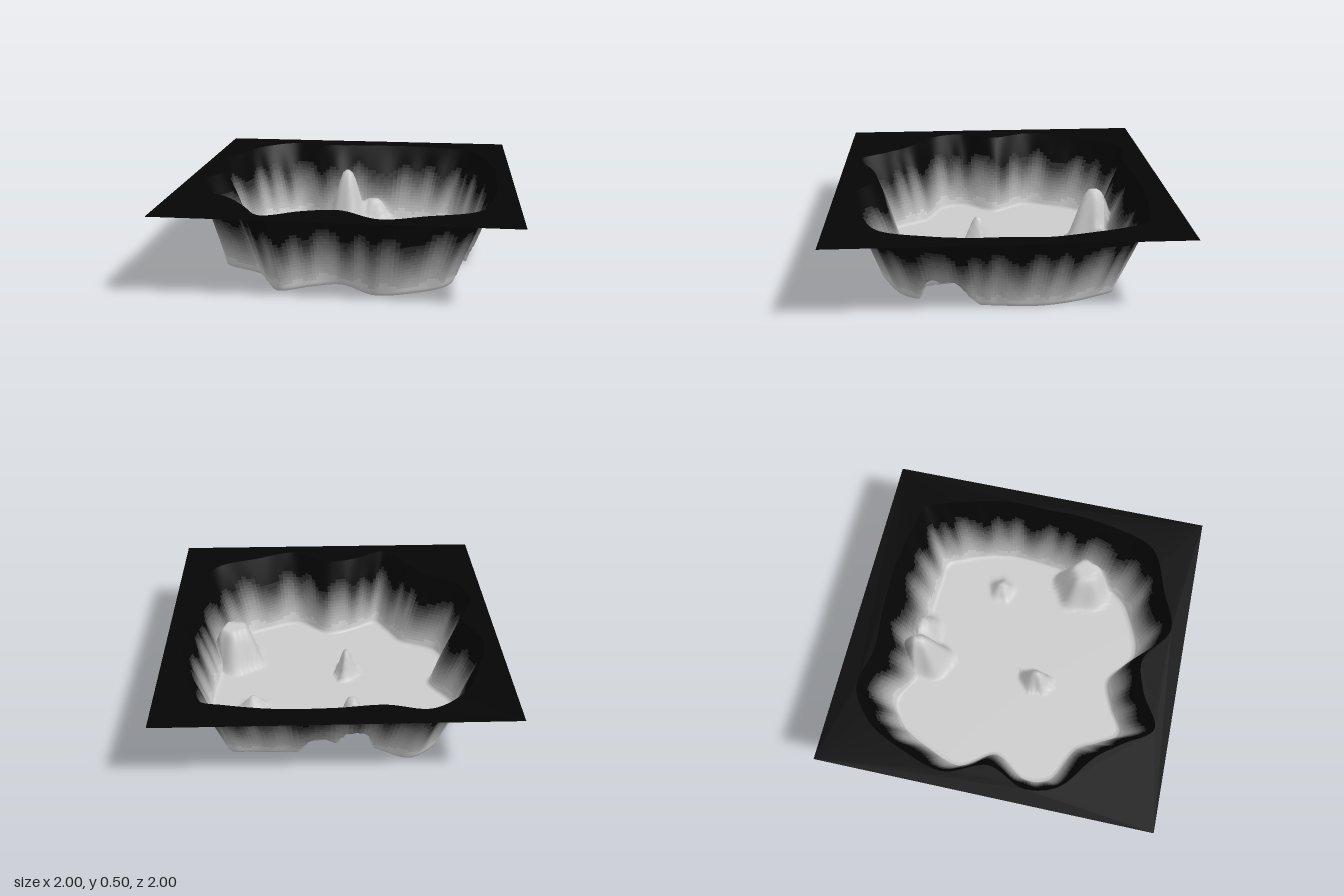
import * as THREE from 'three';

const RIM_Y = 0.5, SIDES = 260, FLOOR_RINGS = 28, WALL_RINGS = 24, SHADES = 28;

// Crater plan, each row: foot of the wall [x, z], then the matching rim point [x, z]
const OUTLINE = [
  [0.75, 0, 0.9, 0], [0.73, 0.15, 0.9, 0.2], [0.69, 0.36, 0.87, 0.42], [0.6, 0.58, 0.77, 0.71],
  [0.43, 0.69, 0.49, 0.83], [0.21, 0.75, 0.24, 0.91], [0, 0.61, 0.01, 0.77], [-0.17, 0.66, -0.19, 0.81],
  [-0.34, 0.74, -0.4, 0.91], [-0.43, 0.61, -0.53, 0.74], [-0.5, 0.49, -0.64, 0.6], [-0.73, 0.36, -0.86, 0.42],
  [-0.76, 0.21, -0.91, 0.23], [-0.64, 0, -0.82, 0], [-0.76, -0.22, -0.91, -0.25], [-0.69, -0.44, -0.83, -0.53],
  [-0.59, -0.62, -0.72, -0.74], [-0.43, -0.72, -0.52, -0.88], [-0.22, -0.63, -0.27, -0.84], [0, -0.66, 0, -0.86],
  [0.28, -0.65, 0.32, -0.86], [0.5, -0.64, 0.6, -0.82], [0.61, -0.63, 0.75, -0.78], [0.67, -0.52, 0.81, -0.65],
  [0.73, -0.36, 0.87, -0.43], [0.76, -0.18, 0.91, -0.22],
];

// Rocks rising from the floor: centre, radii, height, flat-top fraction
const ROCKS = [
  { x: -0.1, z: -0.62, rx: 0.15, rz: 0.21, h: 0.37, flat: 0.1 },
  { x: 0.08, z: -0.67, rx: 0.16, rz: 0.13, h: 0.15, flat: 0.2 },
  { x: 0.64, z: 0.32, rx: 0.19, rz: 0.2, h: 0.26, flat: 0.35 },
  { x: -0.1, z: 0.14, rx: 0.08, rz: 0.12, h: 0.19, flat: 0.05 },
  { x: 0.5, z: -0.22, rx: 0.09, rz: 0.1, h: 0.09, flat: 0.05 },
];

function rockHeight(x, z) {
  let y = 0;
  for (const r of ROCKS) {
    const a = Math.atan2(z - r.z, x - r.x);
    const d = Math.hypot((x - r.x) / r.rx, (z - r.z) / r.rz) * (1 + 0.08 * Math.sin(a * 5 + r.x * 9));
    y = Math.max(y, r.h * (1 - THREE.MathUtils.smoothstep(d, r.flat, 1)));
  }
  return y;
}

// Repeating folds around the wall, roughly -1 to 1
const folds = (u) => 0.4 * Math.sin(u * 17 + 1) + 0.35 * Math.sin(u * 29 + 2.2) + 0.25 * Math.sin(u * 41);

function sampleOutline(column) {
  const points = OUTLINE.map((row) => new THREE.Vector3(row[column], 0, row[column + 1]));
  const curve = new THREE.CatmullRomCurve3(points, true);
  return Array.from({ length: SIDES }, (_, i) => curve.getPoint(i / SIDES));
}

function craterRings() {
  const foot = sampleOutline(0), rim = sampleOutline(2);
  const rings = [];
  // Floor, from the middle outwards
  for (let k = 0; k < FLOOR_RINGS; k++) {
    const f = Math.max(k / FLOOR_RINGS, 0.002);
    rings.push(foot.map((p) => new THREE.Vector3(p.x * f, rockHeight(p.x * f, p.z * f), p.z * f)));
  }
  // Sloping, folded wall up to the rim
  for (let k = 0; k <= WALL_RINGS; k++) {
    const t = k / WALL_RINGS;
    rings.push(foot.map((p, i) => {
      const fold = (folds((i / SIDES) * Math.PI * 2) - 0.3) * 0.016 * Math.sin(Math.PI * t);
      const q = p.clone().lerp(rim[i], t);
      q.setLength(q.length() + fold);
      q.y = Math.max(RIM_Y * t, rockHeight(q.x, q.z));
      return q;
    }));
  }
  return rings;
}

function craterMesh(rings) {
  const buckets = Array.from({ length: SHADES }, () => []);
  for (let k = 0; k < rings.length - 1; k++) {
    for (let i = 0; i < SIDES; i++) {
      const j = (i + 1) % SIDES;
      const a = k * SIDES + i, b = k * SIDES + j, c = a + SIDES, d = b + SIDES;
      // Wall darkens with height, unevenly along the folds
      let shade = 0;
      if (k >= FLOOR_RINGS) {
        const t = (k - FLOOR_RINGS + 0.5) / WALL_RINGS;
        const dark = t / 0.76 + 0.22 * folds((i / SIDES) * Math.PI * 2 + 0.5) * Math.sin(Math.PI * t);
        shade = Math.round(THREE.MathUtils.smoothstep(dark, -0.15, 1) * (SHADES - 1));
      }
      buckets[shade].push(a, d, c, a, b, d);
    }
  }
  const geometry = new THREE.BufferGeometry().setFromPoints(rings.flat());
  geometry.setIndex(buckets.flat());
  let start = 0;
  buckets.forEach((list, s) => {
    geometry.addGroup(start, list.length, s);
    start += list.length;
  });
  geometry.computeVertexNormals();
  const light = new THREE.Color(0xcccccc), dark = new THREE.Color(0x050505);
  const materials = buckets.map((_, s) => new THREE.MeshStandardMaterial({
    color: light.clone().lerp(dark, s / (SHADES - 1)), side: THREE.DoubleSide,
  }));
  const mesh = new THREE.Mesh(geometry, materials);
  mesh.name = 'craterFloorAndWall';
  return mesh;
}

// Flat square sheet around the opening
function groundSheet(rim) {
  const shape = new THREE.Shape([[-1, -1], [1, -1], [1, 1], [-1, 1]].map(([x, y]) => new THREE.Vector2(x, y)));
  shape.holes.push(new THREE.Path(rim.map((p) => new THREE.Vector2(p.x, -p.z))));
  const geometry = new THREE.ShapeGeometry(shape).rotateX(-Math.PI / 2).translate(0, RIM_Y, 0);
  const mesh = new THREE.Mesh(geometry, new THREE.MeshStandardMaterial({ color: 0x050505, side: THREE.DoubleSide }));
  mesh.name = 'groundSheet';
  return mesh;
}

export function createModel() {
  const group = new THREE.Group();
  group.name = 'crater';
  const rings = craterRings();
  group.add(craterMesh(rings), groundSheet(rings[rings.length - 1]));
  return group;
}
